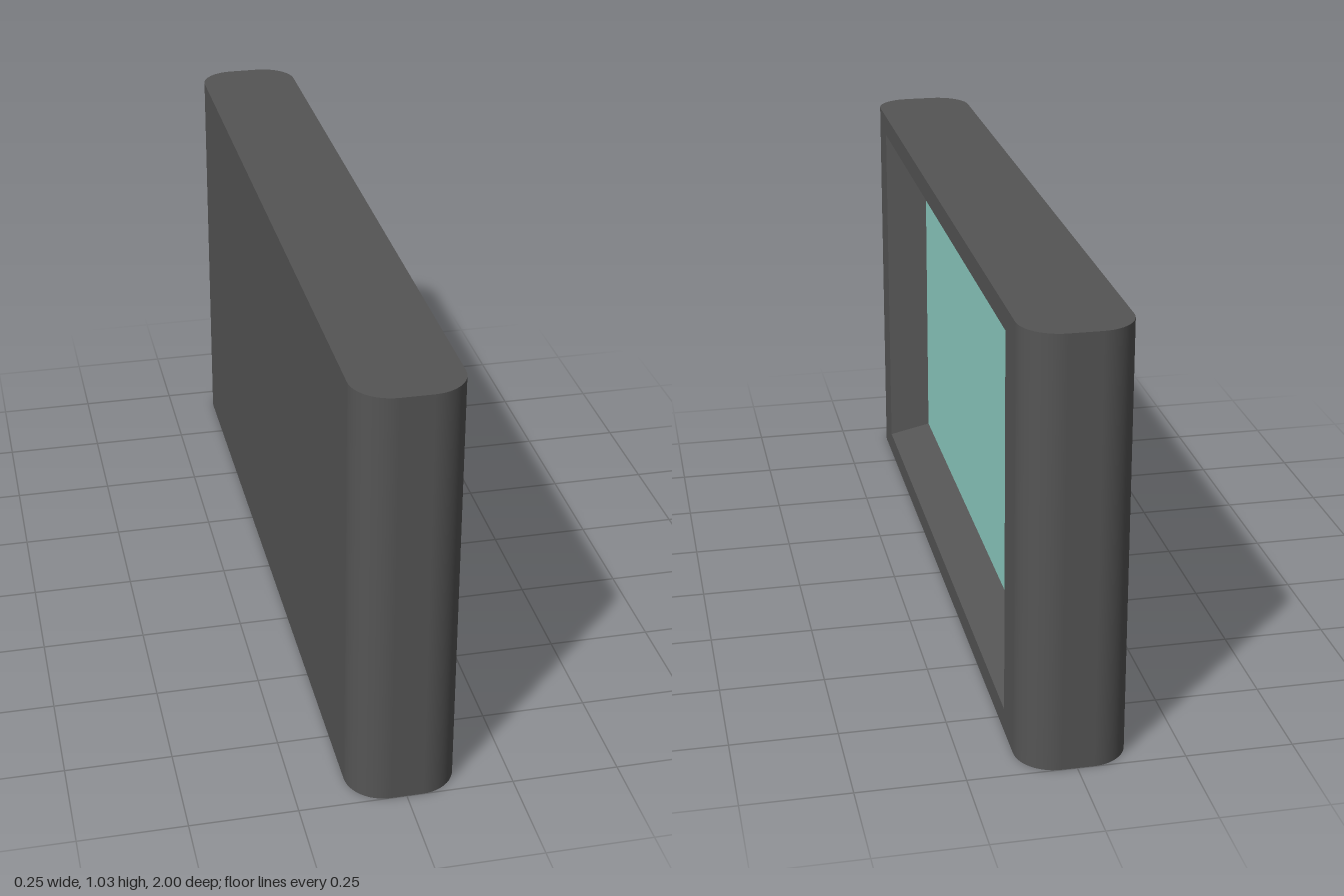
import * as THREE from 'three';

const HALF_W = 0.127, HALF_L = 1, HEIGHT = 1.03, RADIUS = 0.09, SEGMENTS = 12;
const OPENING = { u: 0.814, bottom: 0.057, top: 0.976, x: HALF_W };
const PANEL = { u: 0.772, bottom: 0.1, top: 0.933, x: 0.022 };

// Rounded plan outline: points (x, z) with their outward normals, starting and ending on the +x side
function planOutline() {
  const points = [];
  [[1, 1], [-1, 1], [-1, -1], [1, -1]].forEach(([sx, sz], k) => {
    for (let i = 0; i <= SEGMENTS; i++) {
      const a = (k + i / SEGMENTS) * Math.PI / 2;
      const nx = Math.cos(a), nz = Math.sin(a);
      points.push({
        x: sx * (HALF_W - RADIUS) + RADIUS * nx,
        z: sz * (HALF_L - RADIUS) + RADIUS * nz,
        nx, nz,
      });
    }
  });
  return points;
}

// Smooth wall around the outline, left open on the +x side
function wallGeometry(outline) {
  const position = [], normal = [], index = [];
  outline.forEach((p, i) => {
    position.push(p.x, 0, p.z, p.x, HEIGHT, p.z);
    normal.push(p.nx, 0, p.nz, p.nx, 0, p.nz);
    if (i < outline.length - 1) {
      const a = 2 * i;
      index.push(a, a + 1, a + 2, a + 2, a + 1, a + 3);
    }
  });
  const geo = new THREE.BufferGeometry();
  geo.setAttribute('position', new THREE.Float32BufferAttribute(position, 3));
  geo.setAttribute('normal', new THREE.Float32BufferAttribute(normal, 3));
  geo.setIndex(index);
  return geo;
}

// Corners of a rectangle facing +x, counter-clockwise
function corners({ u, bottom, top, x }) {
  return [[x, bottom, u], [x, bottom, -u], [x, top, -u], [x, top, u]];
}

// Four sloping sides between the opening and the sunken panel
function recessGeometry() {
  const outer = corners(OPENING), inner = corners(PANEL), position = [];
  for (let i = 0; i < 4; i++) {
    const j = (i + 1) % 4;
    position.push(...outer[i], ...outer[j], ...inner[j], ...outer[i], ...inner[j], ...inner[i]);
  }
  const geo = new THREE.BufferGeometry();
  geo.setAttribute('position', new THREE.Float32BufferAttribute(position, 3));
  geo.computeVertexNormals();
  return geo;
}

function rectangle(u, bottom, top, Type) {
  return new Type([[-u, bottom], [u, bottom], [u, top], [-u, top]].map(([x, y]) => new THREE.Vector2(x, y)));
}

export function createModel() {
  const group = new THREE.Group();
  const casing = new THREE.MeshStandardMaterial({ color: 0x555555 });
  const glass = new THREE.MeshStandardMaterial({ color: 0x8ecfc4 });

  const add = (name, geometry, material = casing) => {
    const mesh = new THREE.Mesh(geometry, material);
    mesh.name = name;
    group.add(mesh);
    return mesh;
  };

  // Casing wall with flat ends
  const outline = planOutline();
  add('casingWall', wallGeometry(outline));
  const plan = new THREE.Shape(outline.map((p) => new THREE.Vector2(p.x, p.z)));
  add('casingTop', new THREE.ShapeGeometry(plan).rotateX(-Math.PI / 2)).position.y = HEIGHT;
  add('casingBottom', new THREE.ShapeGeometry(plan).rotateX(Math.PI / 2));

  // Flat frame around the opening
  const frame = rectangle(HALF_L - RADIUS, 0, HEIGHT, THREE.Shape);
  frame.holes.push(rectangle(OPENING.u, OPENING.bottom, OPENING.top, THREE.Path));
  add('screenFrame', new THREE.ShapeGeometry(frame).rotateY(Math.PI / 2)).position.x = HALF_W;

  // Sloping recess and the screen at its floor
  add('screenRecess', recessGeometry());
  const screen = rectangle(PANEL.u, PANEL.bottom, PANEL.top, THREE.Shape);
  add('screen', new THREE.ShapeGeometry(screen).rotateY(Math.PI / 2), glass).position.x = PANEL.x;

  return group;
}
